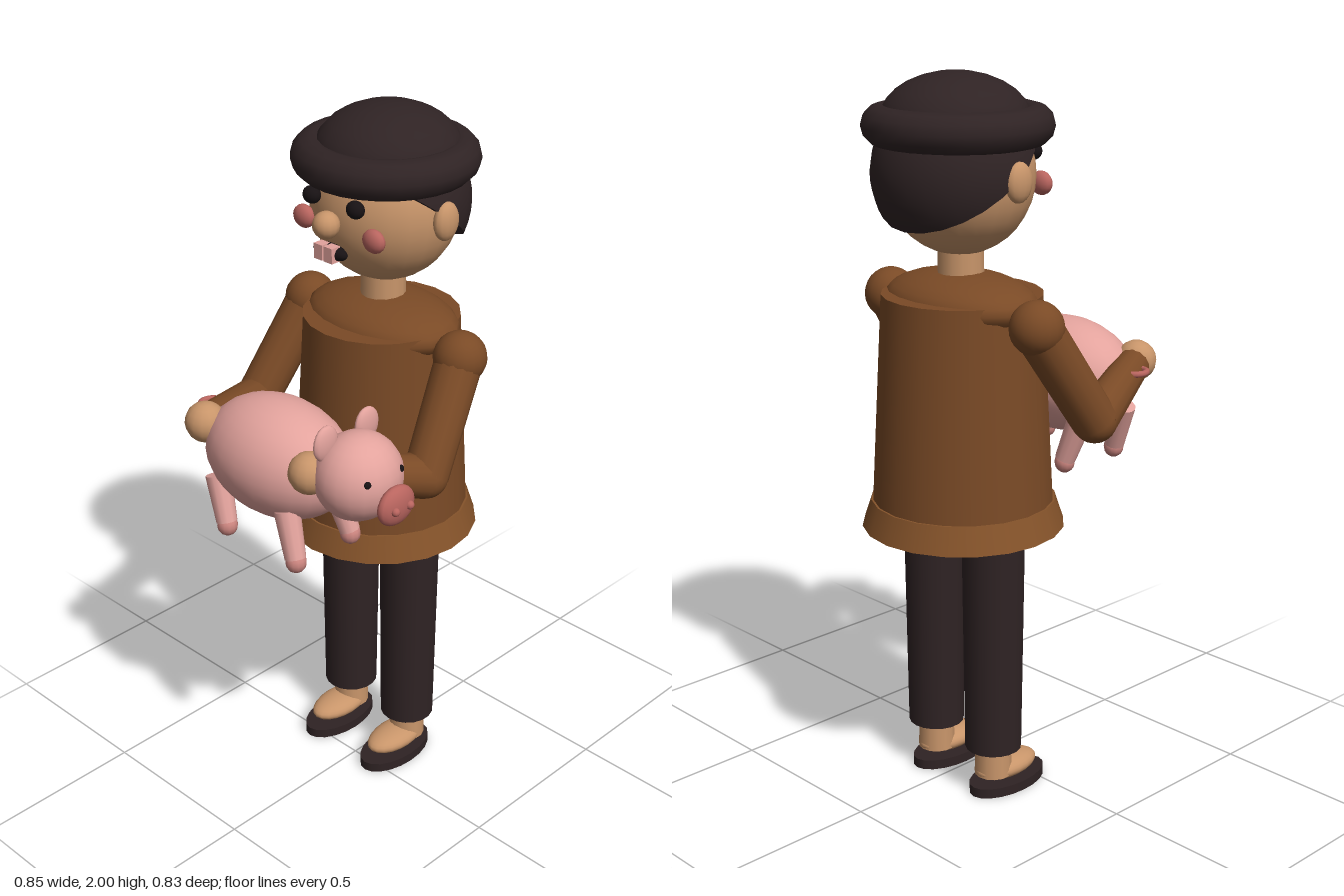
import * as THREE from 'three';

const CX = -0.037, CZ = -0.145; // axis of the standing figure

function paint(name, color) {
  const m = new THREE.MeshStandardMaterial({ color });
  m.name = name;
  return m;
}

export function createModel() {
  const model = new THREE.Group();
  model.name = 'farmerWithPiglet';
  const skin = paint('skin', 0xc8956a);
  const tunicBrown = paint('tunicBrown', 0x7a4a26);
  const hemBrown = paint('hemBrown', 0x85532a);
  const dark = paint('darkCloth', 0x2f2324);
  const black = paint('black', 0x181214);
  const blush = paint('blush', 0xb9655f);
  const pink = paint('pigPink', 0xe3a39d);
  const hoofPink = paint('hoofPink', 0xcd8680);

  const person = new THREE.Group();
  person.name = 'farmer';
  const pig = new THREE.Group();
  pig.name = 'piglet';
  model.add(person, pig);

  function add(parent, name, geometry, material, x = 0, y = 0, z = 0) {
    const mesh = new THREE.Mesh(geometry, material);
    mesh.name = name;
    mesh.position.set(x, y, z);
    parent.add(mesh);
    return mesh;
  }
  function ball(parent, name, material, [x, y, z], [rx, ry, rz], w = 20, h = 14) {
    const mesh = add(parent, name, new THREE.SphereGeometry(1, w, h), material, x, y, z);
    mesh.scale.set(rx, ry, rz);
    return mesh;
  }
  // Tapered rod between two points
  function rod(parent, name, material, a, b, ra, rb, sides = 14) {
    const p = new THREE.Vector3(...a), q = new THREE.Vector3(...b);
    const dir = q.clone().sub(p);
    const mesh = add(parent, name, new THREE.CylinderGeometry(rb, ra, dir.length(), sides), material);
    mesh.position.copy(p).add(q).multiplyScalar(0.5);
    mesh.quaternion.setFromUnitVectors(new THREE.Vector3(0, 1, 0), dir.normalize());
    return mesh;
  }

  // Tunic, hem and shoulders
  rod(person, 'tunic', tunicBrown, [CX, 0.84, -0.14], [CX, 1.42, -0.14], 0.248, 0.217, 20);
  rod(person, 'hem', hemBrown, [CX, 0.775, -0.14], [CX, 0.85, -0.14], 0.278, 0.253, 20);
  ball(person, 'shoulders', tunicBrown, [CX, 1.4, -0.145], [0.24, 0.082, 0.17]);
  rod(person, 'neck', skin, [CX, 1.43, CZ], [CX, 1.56, CZ], 0.063, 0.061);

  // Head and hair
  ball(person, 'head', skin, [CX, 1.735, -0.15], [0.207, 0.21, 0.195], 24, 18);
  const hair = add(person, 'hair',
    new THREE.SphereGeometry(0.225, 24, 12, 0, Math.PI * 2, 0, Math.PI / 2), dark, CX, 1.74, -0.158);
  hair.rotation.x = -0.64;
  const hairBase = add(person, 'hairUnderside', new THREE.CircleGeometry(0.225, 24), dark, CX, 1.74, -0.158);
  hairBase.rotation.x = Math.PI / 2 - 0.64;

  // Cap
  const brim = add(person, 'capBrim', new THREE.TorusGeometry(0.199, 0.053, 12, 28), dark, CX, 1.863, -0.152);
  brim.rotation.x = Math.PI / 2;
  ball(person, 'capCrown', dark, [CX, 1.87, -0.162], [0.2, 0.13, 0.2]);

  // Face
  ball(person, 'nose', skin, [CX, 1.728, 0.07], [0.037, 0.037, 0.037], 14, 10);
  ball(person, 'mouth', black, [CX, 1.652, 0.055], [0.06, 0.022, 0.022], 16, 10);
  for (const s of [-1, 1]) {
    ball(person, 'eye', black, [CX + s * 0.079, 1.783, 0.043], [0.027, 0.024, 0.022], 14, 10);
    ball(person, 'cheek', blush, [CX + s * 0.127, 1.706, 0.025], [0.036, 0.032, 0.022], 14, 10);
    ball(person, 'ear', skin, [CX + s * 0.218, 1.737, -0.148], [0.025, 0.053, 0.042], 14, 10);
    add(person, 'tooth', new THREE.BoxGeometry(0.03, 0.042, 0.03), pink, CX + s * 0.018, 1.653, 0.068);
  }

  // Arms and legs, mirrored about the figure's axis
  for (const s of [-1, 1]) {
    const shoulder = [CX + s * 0.282, 1.372, CZ];
    const elbow = [CX + s * 0.326, 1.1, 0.03];
    const hand = [CX + s * 0.2, 1.183, 0.335];
    ball(person, 'shoulder', tunicBrown, shoulder, [0.073, 0.073, 0.073]);
    rod(person, 'upperArm', tunicBrown, shoulder, elbow, 0.065, 0.062);
    ball(person, 'elbow', tunicBrown, elbow, [0.061, 0.061, 0.061]);
    rod(person, 'forearm', tunicBrown, elbow, hand, 0.062, 0.047);
    ball(person, 'hand', skin, hand, [0.057, 0.057, 0.057], 14, 10);

    const x = CX + s * 0.118;
    rod(person, 'trouserLeg', dark, [x, 0.135, -0.14], [x, 0.82, -0.14], 0.079, 0.087, 18);
    rod(person, 'ankle', skin, [x, 0.05, -0.14], [x, 0.15, -0.14], 0.053, 0.05);
    ball(person, 'foot', skin, [x, 0.06, -0.09], [0.058, 0.033, 0.105]);
    const sole = rod(person, 'sole', dark, [x, 0, -0.087], [x, 0.028, -0.087], 0.071, 0.071, 20);
    sole.scale.z = 1.83;
  }

  // Piglet body, head and snout, facing +x
  ball(pig, 'pigBody', pink, [CX, 1.125, 0.253], [0.235, 0.163, 0.163], 24, 16);
  ball(pig, 'pigHead', pink, [0.256, 1.18, 0.251], [0.115, 0.12, 0.122]);
  ball(pig, 'snout', blush, [0.388, 1.145, 0.251], [0.027, 0.055, 0.063], 16, 12);
  for (const s of [-1, 1]) {
    ball(pig, 'pigEar', pink, [0.213, 1.283, 0.251 + s * 0.074], [0.016, 0.05, 0.042], 14, 10);
    ball(pig, 'pigEye', black, [0.345, 1.21, 0.251 + s * 0.06], [0.011, 0.011, 0.011], 10, 8);
    ball(pig, 'nostril', blush, [0.412, 1.145, 0.251 + s * 0.026], [0.012, 0.012, 0.012], 10, 8);
    // Dangling legs
    for (const x of [-0.19, 0.08]) {
      const top = [x, 1.04, 0.251 + s * 0.088], foot = [x + 0.044, 0.915, 0.251 + s * 0.102];
      rod(pig, 'pigLeg', pink, top, foot, 0.036, 0.029, 12);
      ball(pig, 'hoof', hoofPink, [foot[0] + 0.002, 0.905, foot[2]], [0.029, 0.031, 0.029], 12, 8);
    }
  }

  // Curled tail
  const tail = add(pig, 'tail', new THREE.TorusGeometry(0.034, 0.009, 8, 16, Math.PI * 1.4), blush, -0.305, 1.18, 0.25);
  tail.rotation.set(Math.PI / 2, 0, Math.PI * 0.3);

  return model;
}
